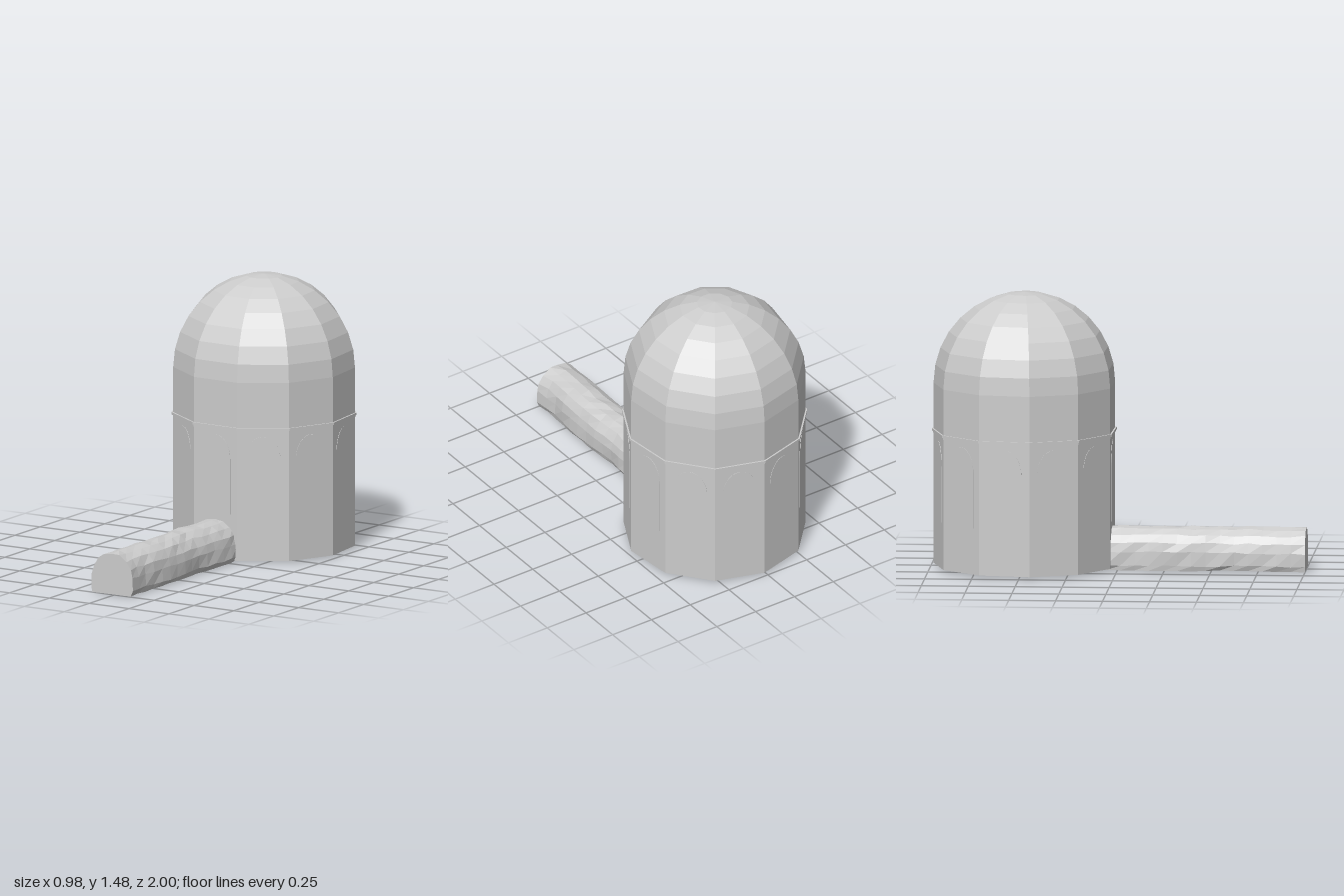
import * as THREE from 'three';

const SIDES = 11;
const TURN = THREE.MathUtils.degToRad(178.5); // angle of the first corner
const STEP = (Math.PI * 2) / SIDES;
const RADIUS = 0.488;
const CENTRE_Z = -0.5;

export function createModel() {
  const model = new THREE.Group();
  model.name = 'domedHall';
  const stone = new THREE.MeshStandardMaterial({ color: 0xcccccc, flatShading: true });
  stone.name = 'pale stone';

  const tower = new THREE.Group();
  tower.name = 'tower';
  tower.position.z = CENTRE_Z;
  model.add(tower);

  const add = (parent, name, geometry) => {
    const mesh = new THREE.Mesh(geometry, stone);
    mesh.name = name;
    parent.add(mesh);
    return mesh;
  };
  const lathe = (points) =>
    new THREE.LatheGeometry(points.map(([r, y]) => new THREE.Vector2(r, y)), SIDES, TURN);

  // Eleven-sided wall with a closed floor
  add(tower, 'wall', lathe([[0, 0.012], [RADIUS, 0.012], [RADIUS, 0.98]]));

  // Dome of eight bands
  const dome = [];
  for (let i = 0; i <= 8; i++) {
    const a = (i / 8) * Math.PI / 2;
    dome.push([i === 8 ? 0 : RADIUS * Math.cos(a), 0.98 + 0.495 * Math.sin(a)]);
  }
  add(tower, 'dome', lathe(dome));

  // Narrow moulding around the wall
  add(tower, 'moulding', lathe([
    [RADIUS - 0.005, 0.71], [RADIUS + 0.002, 0.71], [RADIUS + 0.002, 0.722],
    [RADIUS + 0.009, 0.722], [RADIUS + 0.009, 0.735], [RADIUS - 0.005, 0.735],
  ]));

  // One thin blind arch on each side of the wall
  const arch = new THREE.Shape();
  arch.moveTo(-0.094, 0.26);
  arch.lineTo(0.094, 0.26);
  arch.lineTo(0.094, 0.56);
  arch.absellipse(0, 0.56, 0.094, 0.126, 0, Math.PI, false, 0);
  arch.lineTo(-0.094, 0.26);
  const plate = new THREE.ExtrudeGeometry(arch, { depth: 0.003, bevelEnabled: false, curveSegments: 12 });
  const apothem = RADIUS * Math.cos(STEP / 2);
  for (let i = 0; i < SIDES; i++) {
    const angle = TURN + (i + 0.5) * STEP;
    const panel = add(tower, 'blindArch' + (i + 1), plate);
    panel.rotation.y = angle;
    panel.position.set(Math.sin(angle) * (apothem - 0.001), 0, Math.cos(angle) * (apothem - 0.001));
  }

  add(model, 'tunnel', tunnelGeometry());
  return model;
}

// Uneven vaulted passage, lofted from slightly shifted cross-sections
function tunnelGeometry() {
  let seed = 7;
  const jitter = (size) => {
    seed = (seed * 16807) % 2147483647;
    return (seed / 2147483647 - 0.5) * 2 * size;
  };
  // Right foot, over the vault, to the left foot
  const section = [[0.115, 0.012], [0.128, 0.04]];
  for (let i = 0; i <= 8; i++) {
    const a = (i / 8) * Math.PI;
    section.push([0.126 * Math.cos(a), 0.11 + 0.125 * Math.sin(a)]);
  }
  section.push([-0.128, 0.04], [-0.12, 0.012]);

  const n = section.length, rings = 15, positions = [], index = [];
  for (let k = 0; k < rings; k++) {
    const z = -0.06 + (1.06 * k) / (rings - 1);
    const drift = -0.015 + 0.006 * Math.sin(k * 0.9);
    section.forEach(([x, y], i) => {
      const foot = i === 0 || i === n - 1;
      positions.push(x + drift + jitter(0.005), Math.max(0, y + jitter(foot ? 0.003 : 0.005)), z);
    });
  }
  for (let k = 0; k < rings - 1; k++) {
    for (let i = 0; i < n; i++) {
      const j = (i + 1) % n;
      const a = k * n + i, b = k * n + j, c = a + n, d = b + n;
      index.push(a, b, c, b, d, c);
    }
  }
  // Flat ends
  const last = (rings - 1) * n;
  for (let i = 1; i < n - 1; i++) {
    index.push(last, last + i, last + i + 1, 0, i + 1, i);
  }
  // Put the lowest point exactly on the ground and the end at z = 1
  let low = Infinity;
  for (let i = 1; i < positions.length; i += 3) low = Math.min(low, positions[i]);
  for (let i = 1; i < positions.length; i += 3) positions[i] -= low;

  const geometry = new THREE.BufferGeometry();
  geometry.setAttribute('position', new THREE.Float32BufferAttribute(positions, 3));
  geometry.setIndex(index);
  geometry.computeVertexNormals();
  return geometry;
}
